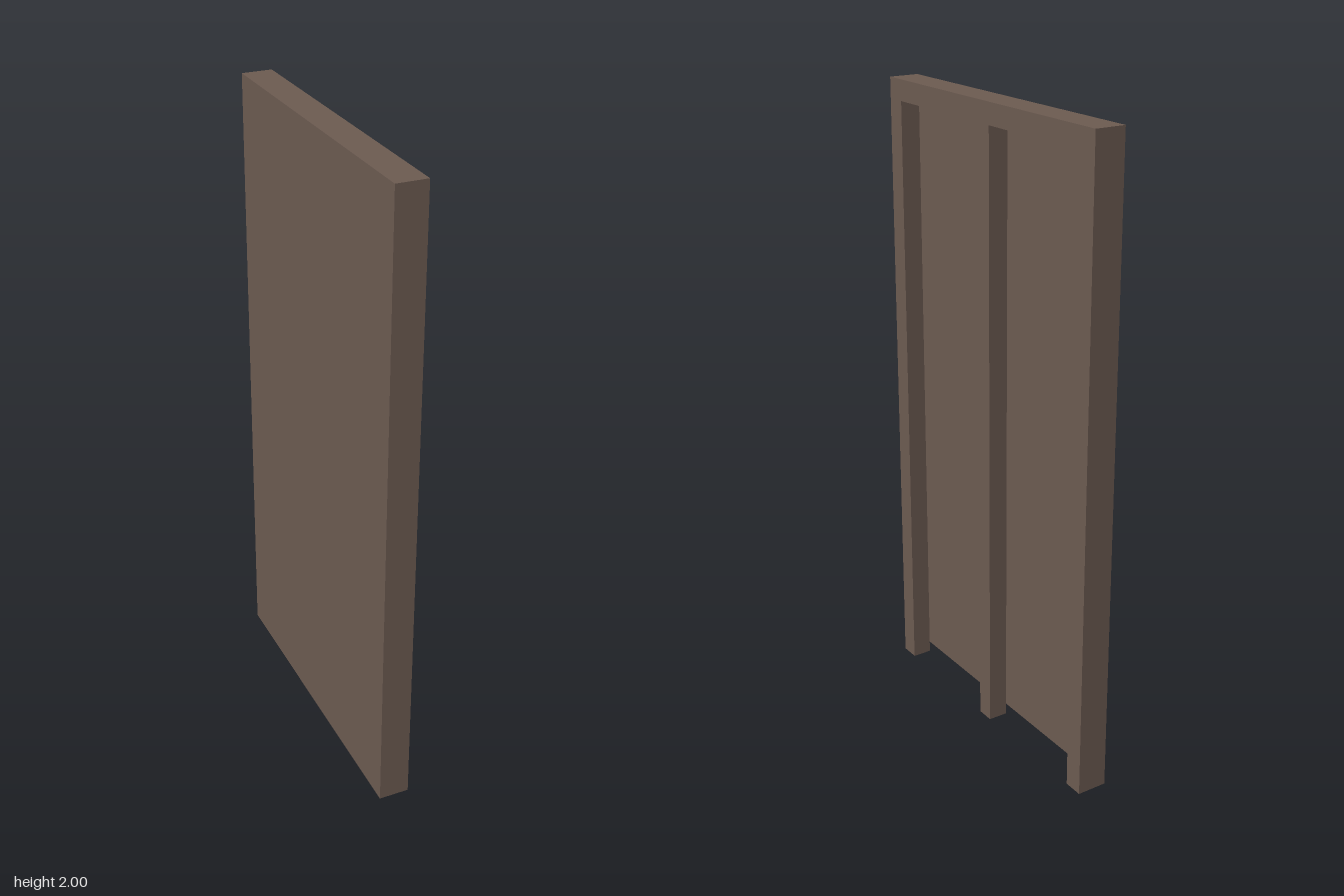
import * as THREE from 'three';

const H = 2, HEAD = 1.935;                    // full height, underside of the head rail
const X = 0.048, LIP_X = -0.015;              // half thickness, rear edge of the frame lips
const Z = 0.516, OUTER = 0.453, INNER = 0.029; // half width and opening limits

export function createModel() {
  const wood = new THREE.MeshStandardMaterial({ color: 0x6b5a50, side: THREE.DoubleSide });
  wood.name = 'dark brown wood';
  const group = new THREE.Group();
  group.name = 'doorPanel';

  // flat rectangle, corners counter-clockwise seen from its front
  const face = (name, parent, ...corners) => {
    const g = new THREE.BufferGeometry();
    g.setAttribute('position', new THREE.Float32BufferAttribute(corners.flat(), 3));
    g.setIndex([0, 1, 2, 0, 2, 3]);
    g.computeVertexNormals();
    const mesh = new THREE.Mesh(g, wood);
    mesh.name = name;
    parent.add(mesh);
  };
  // frame rectangle facing +x, from z0 (larger) to z1
  const faceX = (name, parent, z0, z1, y0, y1) =>
    face(name, parent, [X, y0, z0], [X, y0, z1], [X, y1, z1], [X, y1, z0]);
  // upright rectangle reaching the frame front, facing +z (dir 1) or -z (dir -1)
  const faceZ = (name, parent, z, dir, rear, top) => {
    const [a, b] = dir > 0 ? [rear, X] : [X, rear];
    face(name, parent, [a, 0, z], [b, 0, z], [b, top, z], [a, top, z]);
  };

  // outer shell, open underneath; its back skin is also seen through the frame
  const shell = new THREE.Group();
  shell.name = 'outerShell';
  group.add(shell);
  face('backSkin', shell, [-X, 0, -Z], [-X, 0, Z], [-X, H, Z], [-X, H, -Z]);
  face('topEdge', shell, [-X, H, Z], [X, H, Z], [X, H, -Z], [-X, H, -Z]);
  for (const s of [1, -1]) faceZ('sideEdge', shell, s * Z, s, -X, H);

  // raised frame: head rail and three stiles
  const frame = new THREE.Group();
  frame.name = 'frame';
  group.add(frame);
  faceX('headRail', frame, Z, -Z, HEAD, H);
  for (const [a, b] of [[Z, OUTER], [INNER, -INNER], [-OUTER, -Z]]) {
    faceX('stile', frame, a, b, 0, HEAD);
  }

  // lips turned inwards around the two openings, stopping short of the back skin
  for (const [a, b] of [[OUTER, INNER], [-INNER, -OUTER]]) {
    const opening = new THREE.Group();
    opening.name = 'openingLips';
    group.add(opening);
    face('headLip', opening, [LIP_X, HEAD, b], [X, HEAD, b], [X, HEAD, a], [LIP_X, HEAD, a]);
    faceZ('stileLip', opening, a, -1, LIP_X, HEAD);
    faceZ('stileLip', opening, b, 1, LIP_X, HEAD);
  }
  return group;
}
